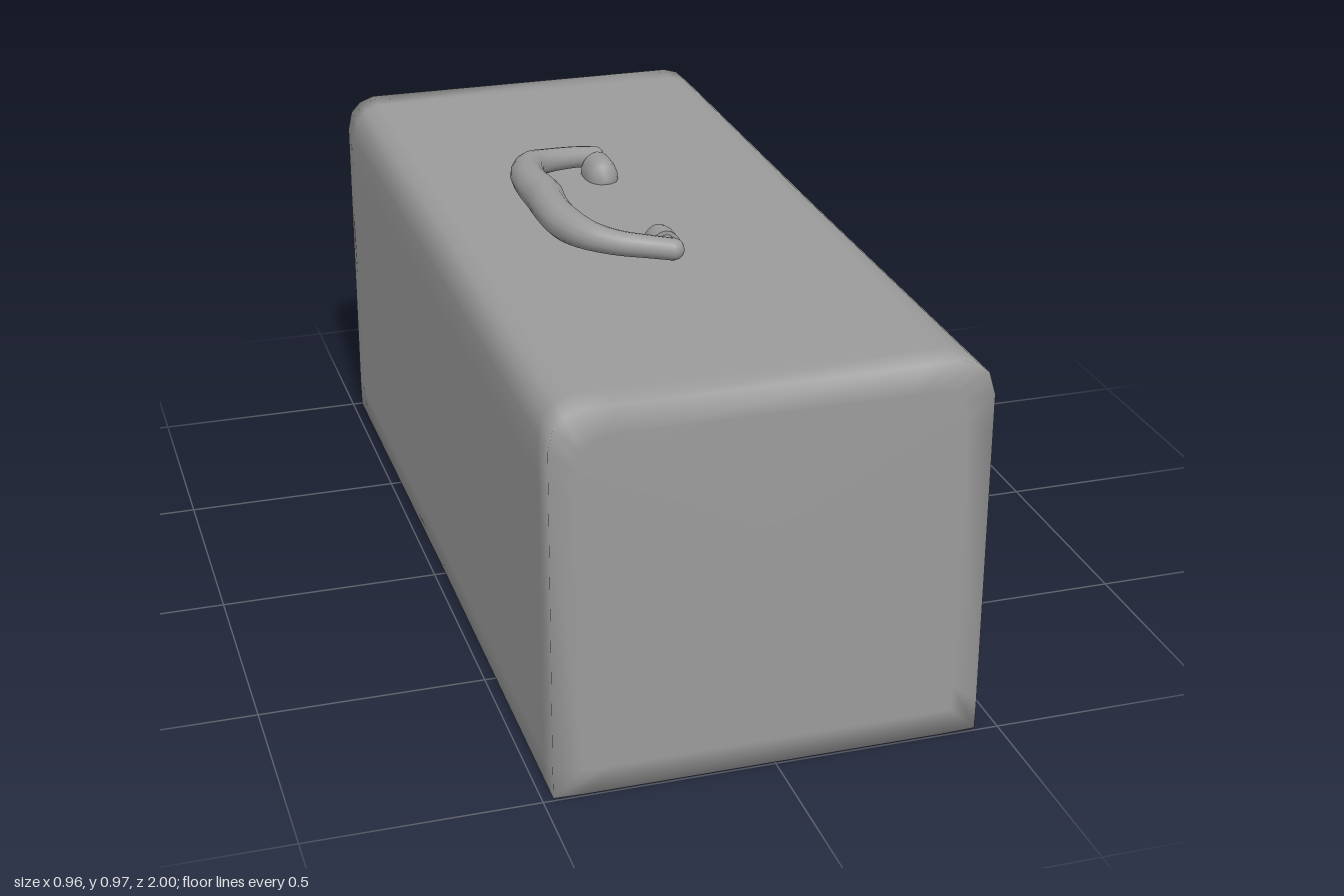
import * as THREE from 'three';

// Skin rings of equal length (anticlockwise along the loft) and close both ends with a fan.
function loft(rings) {
  const n = rings[0].length, pos = [], idx = [];
  rings.forEach(r => r.forEach(p => pos.push(p.x, p.y, p.z)));
  for (let i = 0; i < rings.length - 1; i++)
    for (let j = 0; j < n; j++) {
      const a = i * n + j, b = i * n + (j + 1) % n;
      idx.push(a, b, b + n, a, b + n, a + n);
    }
  [0, rings.length - 1].forEach(k => {
    const c = new THREE.Vector3();
    rings[k].forEach(p => c.addScaledVector(p, 1 / n));
    const ci = pos.length / 3;
    pos.push(c.x, c.y, c.z);
    for (let j = 0; j < n; j++) {
      const a = k * n + j, b = k * n + (j + 1) % n;
      if (k === 0) idx.push(ci, b, a); else idx.push(ci, a, b);
    }
  });
  const g = new THREE.BufferGeometry();
  g.setAttribute('position', new THREE.Float32BufferAttribute(pos, 3));
  g.setIndex(idx);
  g.computeVertexNormals();
  return g;
}

export function createModel() {
  const group = new THREE.Group();
  const mat = new THREE.MeshStandardMaterial({ color: 0x9b9b9b });
  const add = (name, geo) => {
    const m = new THREE.Mesh(geo, mat);
    m.name = name;
    group.add(m);
    return m;
  };

  // Box body: rounded top edges, square bottom, wide softly shaded bands along the ends
  const profile = [
    [-0.478, 0.07], [-0.477, 0.004], [-0.41, 0.002], [0.38, 0.002], [0.449, 0.004], [0.45, 0.07],
    [0.45, 0.70], [0.45, 0.785], [0.435, 0.835], [0.41, 0.858], [0.375, 0.868], [0.31, 0.868],
    [-0.34, 0.868], [-0.41, 0.868], [-0.445, 0.855], [-0.468, 0.83], [-0.478, 0.785], [-0.478, 0.70],
  ];
  const section = (z, inset) => profile.map(([x, y]) => new THREE.Vector3(
    -0.014 + (x + 0.014) * (1 - inset / 0.464), 0.434 + (y - 0.434) * (1 - inset / 0.434), z));
  add('body', loft([[-1, 0.06], [-0.995, 0], [-0.92, 0], [0, 0.002], [0.92, 0], [0.995, 0], [1, 0.06]]
    .map(([z, inset]) => section(z, inset))));

  // Carrying handle: tube whose radius swells along the grip
  const half = [[-0.012, 0.893, 0.315], [-0.06, 0.9, 0.304], [-0.13, 0.908, 0.278],
    [-0.185, 0.917, 0.235], [-0.215, 0.922, 0.16], [-0.222, 0.925, 0.08]];
  const path = [...half, [-0.218, 0.926, 0], ...half.map(([x, y, z]) => [x, y, -z]).reverse()];
  const curve = new THREE.CatmullRomCurve3(path.map(p => new THREE.Vector3(...p)));
  const segs = 48, sides = 14;
  const tube = new THREE.TubeGeometry(curve, segs, 1, sides);
  const p = tube.attributes.position, v = new THREE.Vector3();
  for (let i = 0; i <= segs; i++) {
    const c = curve.getPointAt(i / segs);
    const t = THREE.MathUtils.smoothstep(0.34 - Math.abs(c.z), 0, 0.19);
    const r = 0.024 + 0.016 * t + 0.004 * Math.exp(-((c.z / 0.06) ** 2));
    for (let j = 0; j <= sides; j++) {
      const k = i * (sides + 1) + j;
      v.fromBufferAttribute(p, k).sub(c).multiplyScalar(r).add(c);
      p.setXYZ(k, v.x, v.y, v.z);
    }
  }
  add('handle', tube);

  // Rounded handle ends, pivot pins and bullet-shaped mounts
  const bullet = [[0, 0], [0.015, 0.003], [0.028, 0.013], [0.036, 0.029], [0.039, 0.05], [0.039, 0.085]];
  for (const [side, s] of [['front', 1], ['rear', -1]]) {
    add(side + 'HandleEnd', new THREE.SphereGeometry(0.0245, 14, 10)).position.set(-0.012, 0.893, s * 0.315);
    const pin = add(side + 'HandlePin', new THREE.CylinderGeometry(0.018, 0.018, 0.07, 12));
    pin.rotation.x = Math.PI / 2;
    pin.position.set(-0.015, 0.893, s * 0.285);

    const dome = new THREE.LatheGeometry(bullet.map(([r, y]) => new THREE.Vector2(r, y)), 20);
    const back = new THREE.CircleGeometry(0.039, 20);
    const mount = new THREE.Group();
    mount.name = side + 'HandleMount';
    const shell = new THREE.Mesh(dome.rotateX(Math.PI / 2), mat);
    const cap = new THREE.Mesh(back, mat);
    shell.name = 'mountDome';
    cap.name = 'mountBack';
    cap.position.z = 0.085;
    mount.add(shell, cap);
    mount.scale.y = 1.25;
    mount.rotation.y = s > 0 ? 0 : Math.PI;
    mount.position.set(-0.017, 0.871, s * 0.187);
    group.add(mount);
  }

  // Latches: [height, half width, depth]
  const levels = [[0.448, 0.042, 0.004], [0.453, 0.054, 0.012], [0.485, 0.062, 0.031], [0.508, 0.066, 0.028],
    [0.525, 0.078, 0.022], [0.545, 0.083, 0.019], [0.59, 0.083, 0.018], [0.635, 0.08, 0.018],
    [0.648, 0.077, 0.02], [0.66, 0.085, 0.023], [0.695, 0.086, 0.022], [0.708, 0.081, 0.018], [0.713, 0.07, 0.006]];
  const outline = [[1, -0.4], [1, 0.3], [0.88, 0.6], [0.5, 0.93], [0, 1],
    [-0.5, 0.93], [-0.88, 0.6], [-1, 0.3], [-1, -0.4]];
  const latch = loft(levels.map(([y, w, d]) => outline.map(([z, x]) => new THREE.Vector3(0.449 + d * x, y, z * w))));
  add('frontLatch', latch).position.z = 0.703;
  add('rearLatch', latch).position.z = -0.703;

  return group;
}
